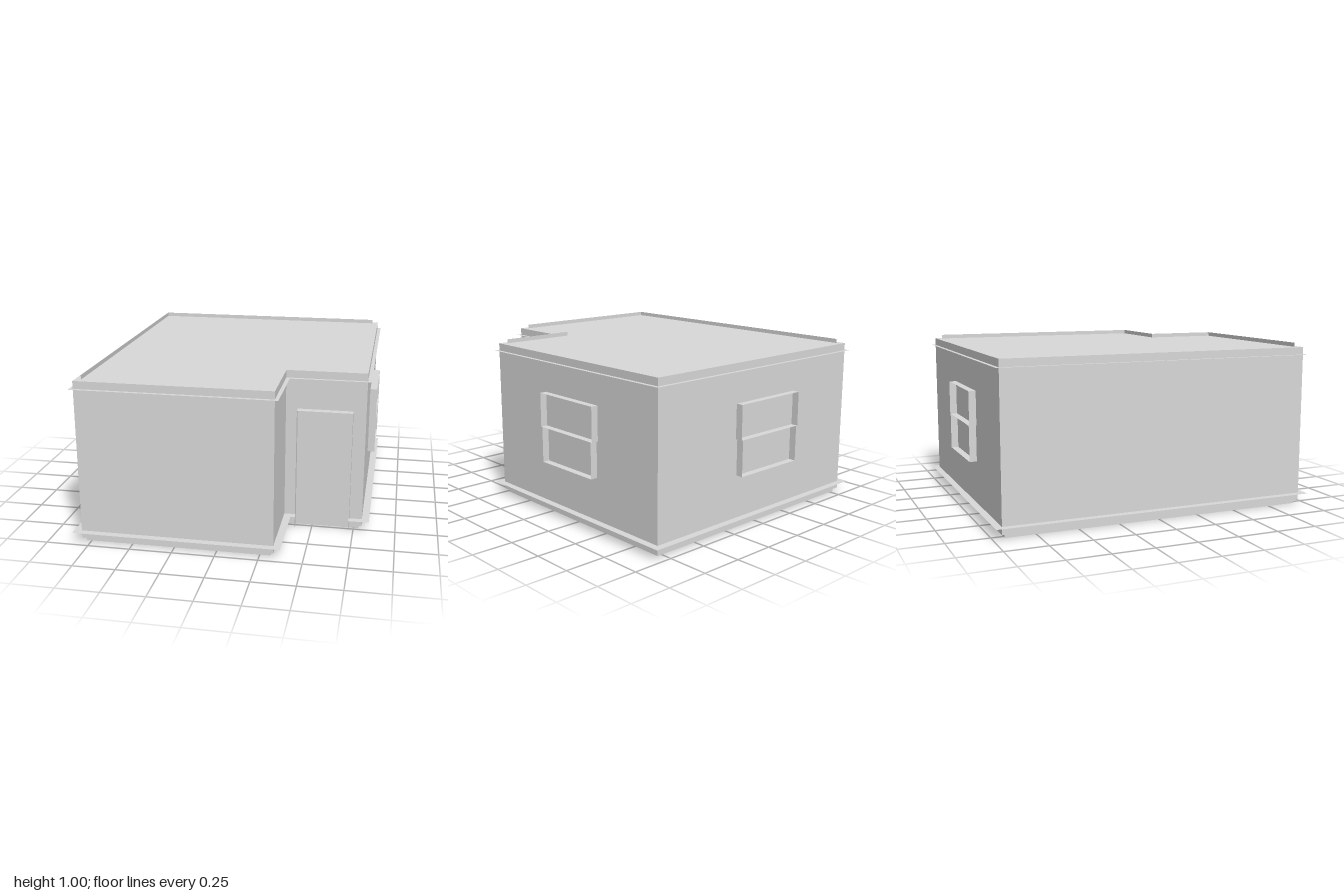
import * as THREE from 'three';

// Footprint corners: x, z, and the outward direction of each corner
const CORNERS = [
  [-0.8, 0.95, -1, 1], [0.33, 0.95, 1, 1], [0.33, 0.5, 1, 1],
  [0.8, 0.5, 1, 1], [0.8, -0.95, 1, -1], [-0.8, -0.95, -1, -1],
];
const RECESS = 2; // the edge that holds the door
const outline = (d) => CORNERS.map(([x, z, sx, sz]) => [x + sx * d, z + sz * d]);

export function createModel() {
  const model = new THREE.Group();
  const plaster = new THREE.MeshStandardMaterial({ color: 0xd9d9d9 });
  const sheet = new THREE.MeshStandardMaterial({ color: 0xd9d9d9, side: THREE.DoubleSide });
  plaster.name = 'plaster grey';
  sheet.name = 'plaster grey sheet';

  const add = (geometry, name, material) => {
    const mesh = new THREE.Mesh(geometry, material);
    mesh.name = name;
    model.add(mesh);
    return mesh;
  };

  // Solid with the L-shaped footprint
  const block = (d, y0, y1) => {
    const shape = new THREE.Shape(outline(d).map(([x, z]) => new THREE.Vector2(x, -z)));
    const g = new THREE.ExtrudeGeometry(shape, { depth: y1 - y0, bevelEnabled: false });
    return g.rotateX(-Math.PI / 2).translate(0, y0, 0);
  };

  // Four-cornered faces, wound in the order given
  const quads = (list) => {
    const g = new THREE.BufferGeometry();
    const pos = list.flatMap(([a, b, c, d]) => [a, b, c, a, c, d].flat());
    g.setAttribute('position', new THREE.Float32BufferAttribute(pos, 3));
    g.computeVertexNormals();
    return g;
  };

  // Flat ledge standing out from the walls, all round or leaving the doorway open
  const ledge = (depth, y, doorGap) => {
    const p = outline(0), q = outline(depth), list = [];
    const strip = (...corners) => list.push(corners.map(([x, z]) => [x, y, z]));
    for (let i = 0; i < 6; i++) {
      const j = (i + 1) % 6;
      if (doorGap && i === RECESS) {
        strip(p[i], q[i], [0.4, q[i][1]], [0.4, p[i][1]]);
        strip([0.72, p[j][1]], [0.72, q[j][1]], q[j], p[j]);
      } else strip(p[i], q[i], q[j], p[j]);
    }
    return quads(list);
  };

  // Upright band along the outline, facing inwards
  const band = (d, y0, y1) => {
    const p = outline(d);
    return quads(p.map(([x, z], i) => {
      const [u, w] = p[(i + 1) % 6];
      return [[u, y0, w], [x, y0, z], [x, y1, z], [u, y1, w]];
    }));
  };

  // Main body and recessed plinth
  add(block(0, 0.025, 0.975), 'walls', plaster);
  add(block(-0.02, 0, 0.025), 'plinth', plaster);

  // Skirting ledge broken at the door, cornice ledge, and rim round the roof
  add(ledge(0.043, 0.07, true), 'skirting', sheet);
  add(ledge(0.022, 0.93, false), 'cornice', sheet);
  add(band(-0.037, 0.975, 1), 'roofRim', plaster);

  // Thin casing in the xy plane, projecting along +z, through a run of points
  const casing = (points, depth) => quads(points.slice(1).map((b, i) => {
    const a = points[i];
    return [[...a, 0], [...b, 0], [...b, depth], [...a, depth]];
  }));

  // Sash windows: the upper sash is slightly wider than the lower one
  const addWindow = (name, x, z, turn, w) => {
    const v = w - 0.011, rail = 0.54;
    const parts = {
      UpperSash: [[-w, rail], [-w, 0.745], [w, 0.745], [w, rail], [-w, rail]],
      LowerSash: [[-v, rail], [-v, 0.325], [v, 0.325], [v, rail]],
    };
    for (const [part, points] of Object.entries(parts)) {
      const mesh = add(casing(points, 0.043), name + part, sheet);
      mesh.position.set(x, 0, z);
      mesh.rotation.y = turn;
    }
  };
  addWindow('rightWindow', 0.8, -0.225, Math.PI / 2, 0.238);
  addWindow('backWindow', -0.048, -0.95, Math.PI, 0.248);

  // Door casing in the recessed front wall
  const doorPath = [[0.4, 0], [0.4, 0.745], [0.725, 0.745], [0.725, 0]];
  add(casing(doorPath, 0.045), 'doorCasing', sheet).position.z = 0.5;

  return model;
}
